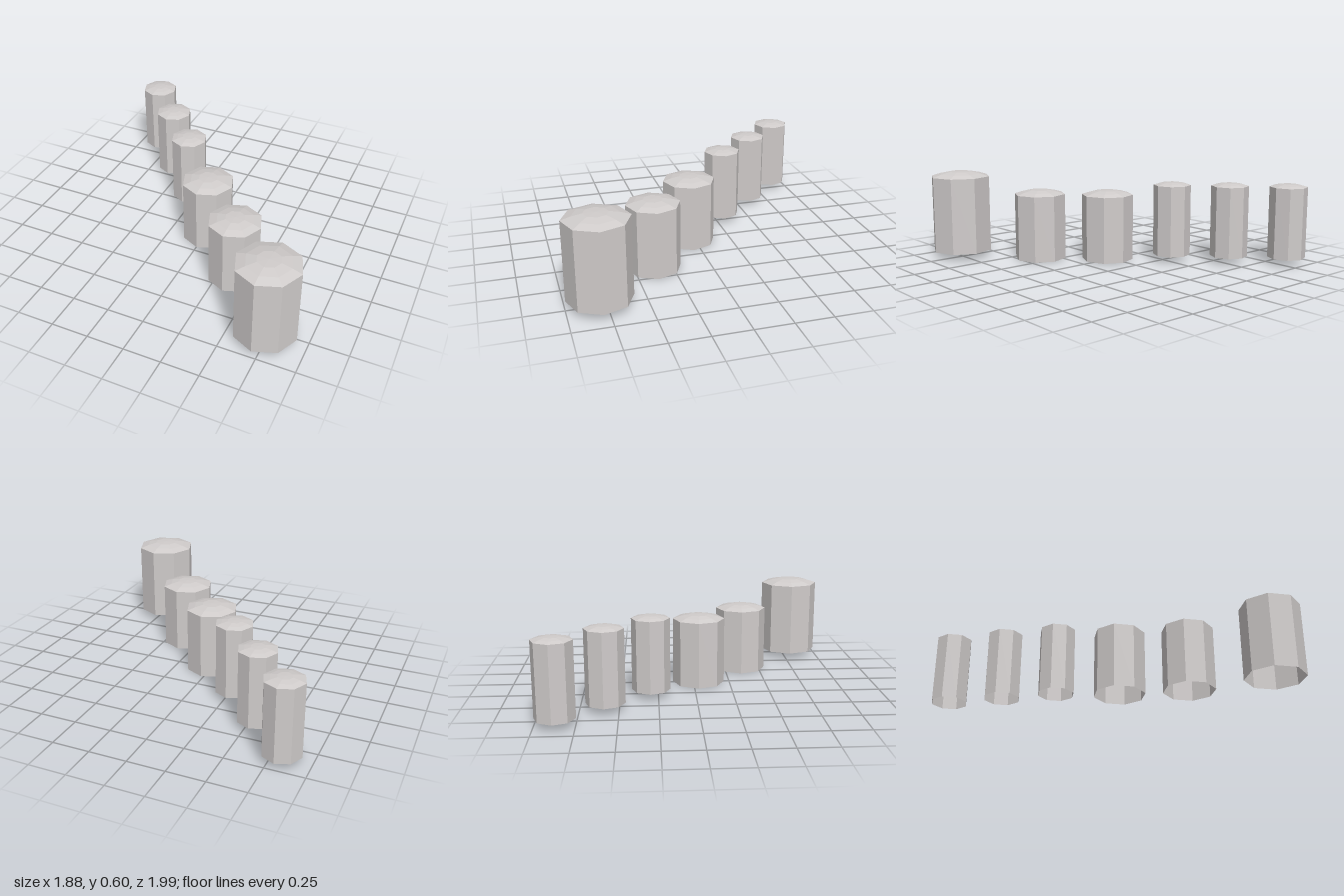
import * as THREE from 'three';

const SIDES = 8;
const TWIST = -0.05; // slight turn shared by every post

export function createModel() {
  const model = new THREE.Group();
  model.name = 'postRow';

  const paleStone = new THREE.MeshStandardMaterial({
    color: 0xd0cccb, flatShading: true, side: THREE.DoubleSide,
  });
  paleStone.name = 'pale stone';

  // Eight-sided shell, open underneath, with a shallow domed cap
  function addPost(name, x, z, radius, bottom, rim, top) {
    const post = new THREE.Group();
    post.name = name;
    post.position.set(x, 0, z);

    const rise = top - rim;
    const parts = {
      wall: [[1, bottom], [1, rim]],
      cap: [[1, rim], [0.7, rim + rise * 0.55], [0.37, rim + rise * 0.93], [0, top]],
    };
    for (const [part, profile] of Object.entries(parts)) {
      const points = profile.map(([r, y]) => new THREE.Vector2(r * radius, y));
      const mesh = new THREE.Mesh(
        new THREE.LatheGeometry(points, SIDES, TWIST, Math.PI * 2), paleStone);
      mesh.name = part;
      post.add(mesh);
    }
    model.add(post);
  }

  // Large post at the front end
  addPost('largePost', 0.728, 0.787, 0.207, 0.045, 0.568, 0.603);

  // Two medium posts, set lower
  [[0.347, 0.366], [0.011, 0.036]].forEach(([x, z], i) =>
    addPost(`mediumPost${i + 1}`, x, z, 0.178, 0, 0.453, 0.483));

  // Three slim posts at the back end
  [[-0.288, -0.297], [-0.552, -0.586], [-0.815, -0.874]].forEach(([x, z], i) =>
    addPost(`slimPost${i + 1}`, x, z, 0.127, 0.045, 0.528, 0.547));

  return model;
}
